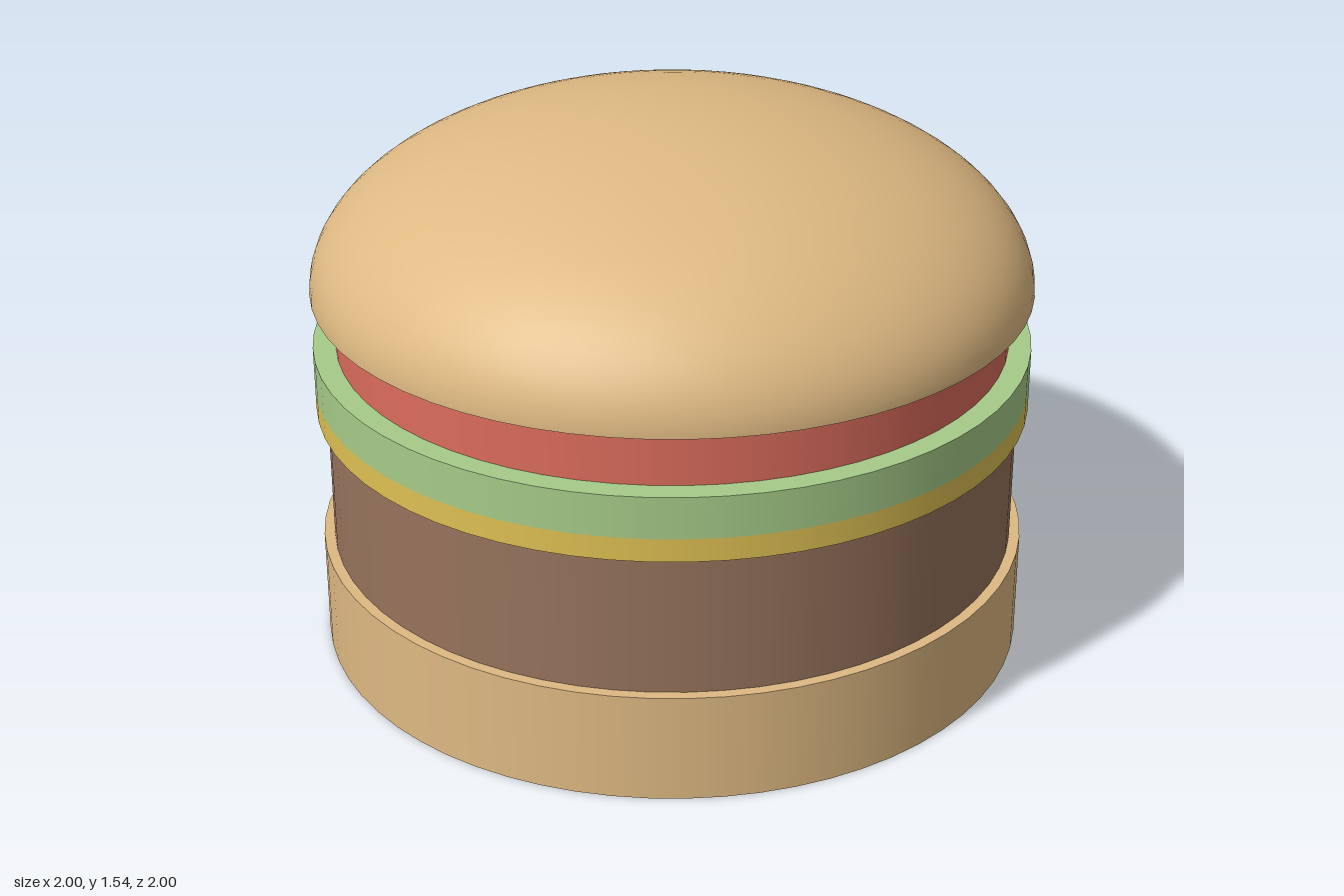
import * as THREE from 'three';

const SEGMENTS = 64;

export function createModel() {
  const burger = new THREE.Group();
  burger.name = 'burger';

  const mat = (name, color) => {
    const m = new THREE.MeshStandardMaterial({ color });
    m.name = name;
    return m;
  };
  const bun = mat('toasted bun', 0xdeb982);

  const add = (name, geometry, material, y) => {
    const mesh = new THREE.Mesh(geometry, material);
    mesh.name = name;
    mesh.position.y = y;
    burger.add(mesh);
  };

  // Stacked round layers: name, material, radius, bottom, top
  const layers = [
    ['bottomBun', bun, 1, 0, 0.308],
    ['patty', mat('grilled brown', 0x96735c), 0.97, 0.308, 0.71],
    ['cheese', mat('cheese yellow', 0xdec053), 1, 0.71, 0.775],
    ['lettuce', mat('lettuce green', 0xa6cb88), 1, 0.775, 0.893],
    ['tomato', mat('tomato red', 0xdb6c5c), 0.937, 0.893, 1.054],
  ];
  for (const [name, material, radius, bottom, top] of layers) {
    const disc = new THREE.CylinderGeometry(radius, radius, top - bottom, SEGMENTS);
    add(name, disc, material, (bottom + top) / 2);
  }

  // Flattened dome with a flat underside
  const dome = new THREE.SphereGeometry(1, SEGMENTS, 24, 0, Math.PI * 2, 0, Math.PI / 2);
  dome.scale(1, 0.486, 1);
  add('topBun', dome, bun, 1.054);

  const underside = new THREE.CircleGeometry(1, SEGMENTS);
  underside.rotateX(Math.PI / 2);
  add('topBunUnderside', underside, bun, 1.054);

  return burger;
}
